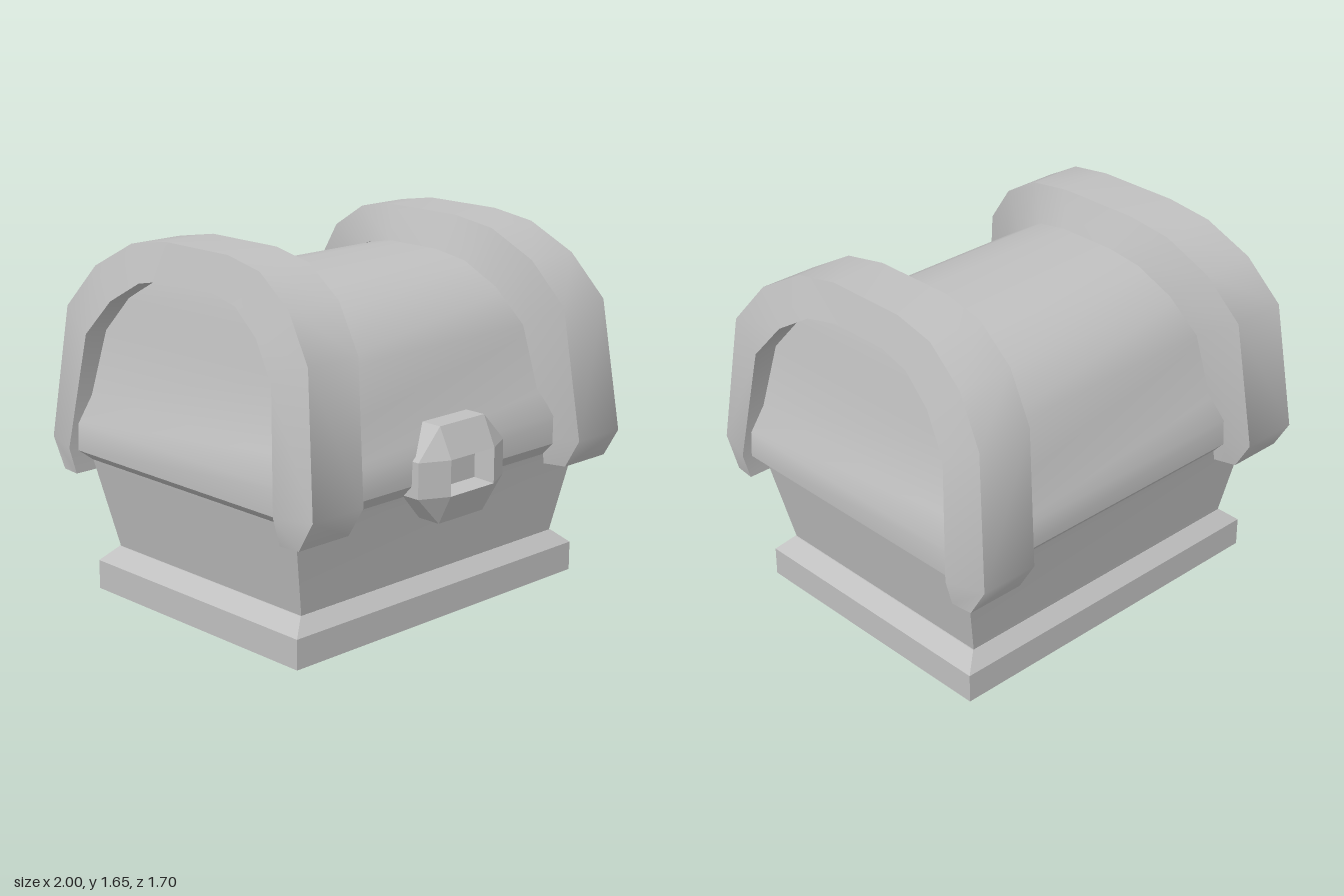
import * as THREE from 'three';
import { toCreasedNormals } from 'three/addons/utils/BufferGeometryUtils.js';

// Skin a list of equal-sized point loops, cap both ends and face it outwards.
function loft(rings, crease = 0.7) {
  const n = rings[0].length;
  const pts = rings.flat();
  const tris = [];
  for (let r = 0; r < rings.length - 1; r++) {
    for (let i = 0; i < n; i++) {
      const j = (i + 1) % n;
      const a = r * n + i, b = r * n + j, c = b + n, d = a + n;
      tris.push([a, b, c], [a, c, d]);
    }
  }
  const last = (rings.length - 1) * n;
  for (let i = 1; i < n - 1; i++) {
    tris.push([0, i + 1, i], [last, last + i, last + i + 1]);
  }
  // The signed volume tells whether the corners must be reversed.
  const v = pts.map((p) => new THREE.Vector3(...p));
  const cross = new THREE.Vector3();
  let volume = 0;
  for (const [a, b, c] of tris) volume += v[a].dot(cross.crossVectors(v[b], v[c]));
  if (volume < 0) tris.forEach((t) => t.reverse());

  const geometry = new THREE.BufferGeometry();
  geometry.setAttribute('position', new THREE.Float32BufferAttribute(pts.flat(), 3));
  geometry.setIndex(tris.flat());
  return toCreasedNormals(geometry, crease);
}

const rectRing = ([y, hx, hz]) => [[-hx, y, hz], [hx, y, hz], [hx, y, -hz], [-hx, y, -hz]];

// Octagon in the xy plane around the lock centre, from wide and narrow half sizes.
function octagon(z, wx, wy, nx, ny) {
  const cy = 0.7;
  return [[wx, ny], [nx, wy], [-nx, wy], [-wx, ny], [-wx, -ny], [-nx, -wy], [nx, -wy], [wx, -ny]]
    .map(([x, y]) => [x, cy + y, z]);
}

export function createModel() {
  const group = new THREE.Group();
  const stone = new THREE.MeshStandardMaterial({ color: 0xc0c0c0 });
  stone.name = 'light grey';

  const add = (name, geometry) => {
    const mesh = new THREE.Mesh(geometry, stone);
    mesh.name = name;
    group.add(mesh);
  };

  // Chest pieces as [height, half width, half depth] rectangles
  add('plinth', loft([
    [0, 0.865, 0.66], [0.135, 0.865, 0.66], [0.2, 0.79, 0.602],
  ].map(rectRing)));
  add('body', loft([
    [0.2, 0.785, 0.6], [0.57, 0.865, 0.658], [0.62, 0.875, 0.668],
  ].map(rectRing)));
  add('lid', loft([
    [0.61, 0.87, 0.667], [0.67, 0.95, 0.722], [0.8, 0.955, 0.726],
    [0.92, 0.89, 0.655], [1.21, 0.83, 0.603], [1.37, 0.8, 0.472],
    [1.465, 0.78, 0.312], [1.495, 0.77, 0.145],
  ].map(rectRing)));

  // Hoops over the lid: outer z, y, x from, x to; then inner z, y, x from, x to
  const half = [
    [0.77, 0.565, 0.68, 0.955, 0.67, 0.565, 0.65, 0.965],
    [0.85, 0.7, 0.675, 0.953, 0.67, 0.69, 0.63, 1.0],
    [0.775, 1.305, 0.632, 0.905, 0.6, 1.21, 0.56, 0.94],
    [0.62, 1.5, 0.59, 0.862, 0.47, 1.37, 0.52, 0.902],
    [0.41, 1.62, 0.557, 0.825, 0.31, 1.468, 0.492, 0.87],
    [0.2, 1.655, 0.545, 0.81, 0.145, 1.5, 0.48, 0.855],
  ];
  const back = half.map(([oz, oy, a, b, iz, ...rest]) => [-oz, oy, a, b, -iz, ...rest]).reverse();
  for (const side of [1, -1]) {
    const rings = [...half, ...back].map(([oz, oy, oa, ob, iz, iy, ia, ib]) => [
      [side * oa, oy, oz], [side * ob, oy, oz], [side * ib, iy, iz], [side * ia, iy, iz],
    ]);
    add(side > 0 ? 'leftHoop' : 'rightHoop', loft(rings));
  }

  // Lock: bevelled octagonal plate with a recessed rectangular opening
  add('lock', loft([
    octagon(0.645, 0.265, 0.215, 0.137, 0.08),
    octagon(0.76, 0.265, 0.215, 0.137, 0.08),
    octagon(0.825, 0.135, 0.08, 0.135, 0.08),
    octagon(0.74, 0.105, 0.064, 0.105, 0.064),
  ], 0.4));

  return group;
}
